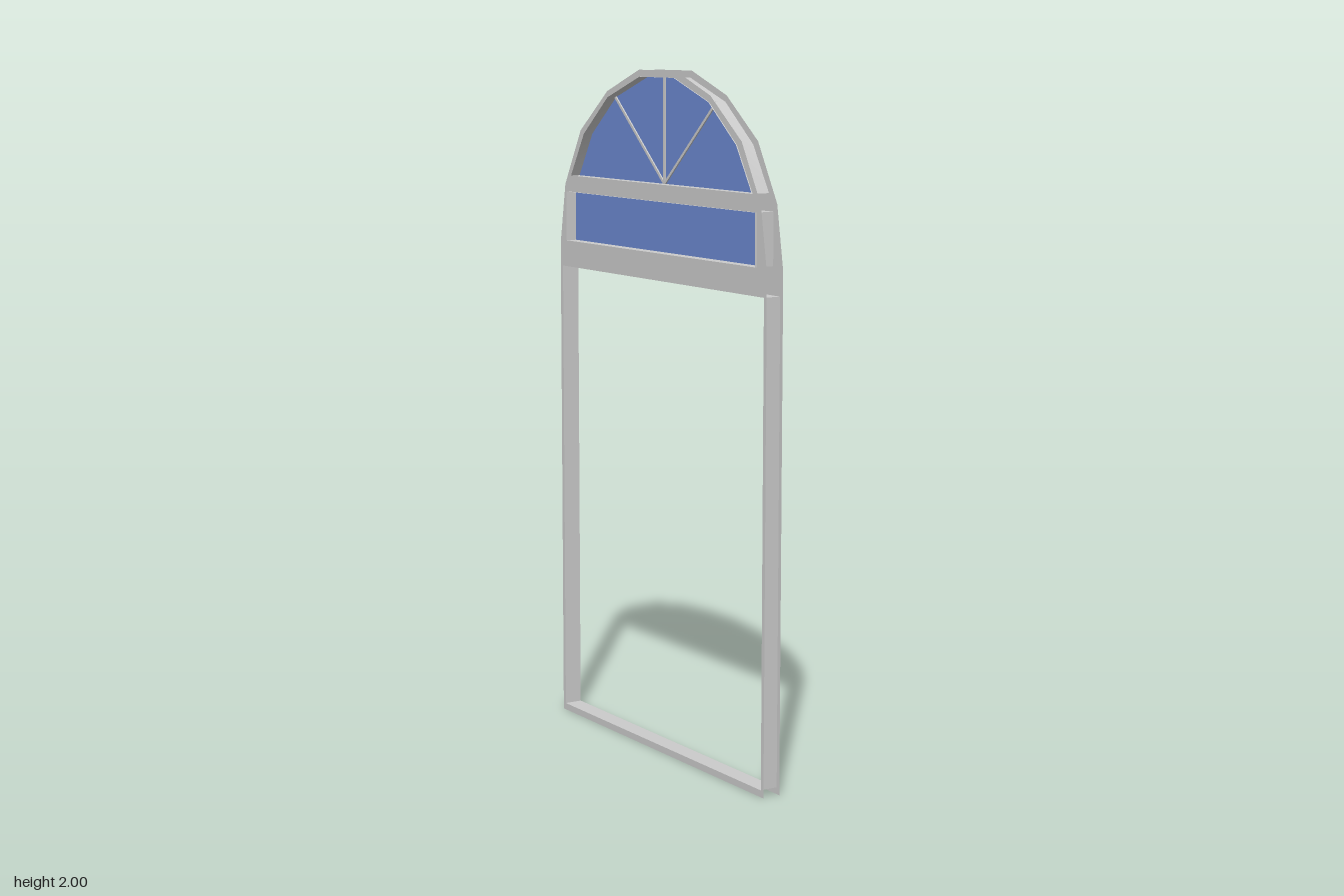
import * as THREE from 'three';
import { toCreasedNormals } from 'three/addons/utils/BufferGeometryUtils.js';

const frameMat = new THREE.MeshStandardMaterial({ color: 0xcccccc, side: THREE.DoubleSide });
const glassMat = new THREE.MeshStandardMaterial({ color: 0x6b88d0, side: THREE.DoubleSide });

const vec = ([x, y]) => new THREE.Vector2(x, y);
// Mirror the right half of an outline (listed upwards) into a closed counterclockwise loop
const mirrored = (half) => [...half, ...half.map(([x, y]) => [-x, y]).reverse()].map(vec);

const outline = mirrored([[0.547, 0], [0.547, 1.47], [0.517, 1.65], [0.425, 1.815], [0.272, 1.935], [0.097, 2]]);
const doorway = mirrored([[0.534, 0.02], [0.534, 1.4]]);
const transom = mirrored([[0.5, 1.48], [0.5, 1.628]]);
const fanlight = mirrored([[0.478, 1.677], [0.402, 1.805], [0.266, 1.917], [0.09, 1.98]]);

// Inner wall of an opening: a band of quads facing into the opening
function reveal(loop, d) {
  const pos = [];
  loop.forEach((p, i) => {
    const q = loop[(i + 1) % loop.length];
    const a = [p.x, p.y, -d], b = [q.x, q.y, -d], c = [q.x, q.y, d], e = [p.x, p.y, d];
    pos.push(...a, ...c, ...b, ...a, ...e, ...c);
  });
  const geo = new THREE.BufferGeometry();
  geo.setAttribute('position', new THREE.Float32BufferAttribute(pos, 3));
  geo.computeVertexNormals();
  return toCreasedNormals(geo, 0.6);
}

export function createModel() {
  const group = new THREE.Group();
  // Everything is drawn in the xy plane, then turned to face +x
  const add = (name, geo, mat) => {
    const mesh = new THREE.Mesh(geo.rotateY(Math.PI / 2), mat);
    mesh.name = name;
    group.add(mesh);
  };

  // Two face sheets, open around the outer edge
  const face = new THREE.Shape(outline);
  face.holes = [doorway, transom, fanlight].map((h) => new THREE.Path(h));
  add('faceSheet', new THREE.ShapeGeometry(face).translate(0, 0, 0.027), frameMat);
  add('backSheet', new THREE.ShapeGeometry(face).rotateY(Math.PI).translate(0, 0, -0.027), frameMat);

  // Linings of the three openings
  add('doorwayLining', reveal(doorway, 0.027), frameMat);
  add('transomLining', reveal(transom, 0.034), frameMat);
  add('fanlightLining', reveal(fanlight, 0.03), frameMat);

  // Panes
  add('transomGlass', new THREE.ShapeGeometry(new THREE.Shape(transom)), glassMat);
  add('fanlightGlass', new THREE.ShapeGeometry(new THREE.Shape(fanlight)), glassMat);

  // Glazing bars fanning out from the middle of the fanlight sill
  for (const [x, y] of [[-0.266, 1.917], [0, 1.98], [0.266, 1.917]]) {
    const dy = y - 1.677, len = Math.hypot(x, dy);
    const bar = new THREE.BoxGeometry(0.008, len, 0.008);
    bar.rotateZ(-Math.atan2(x, dy)).translate(x / 2, 1.677 + dy / 2, 0);
    add('glazingBar', bar, frameMat);
  }
  return group;
}
